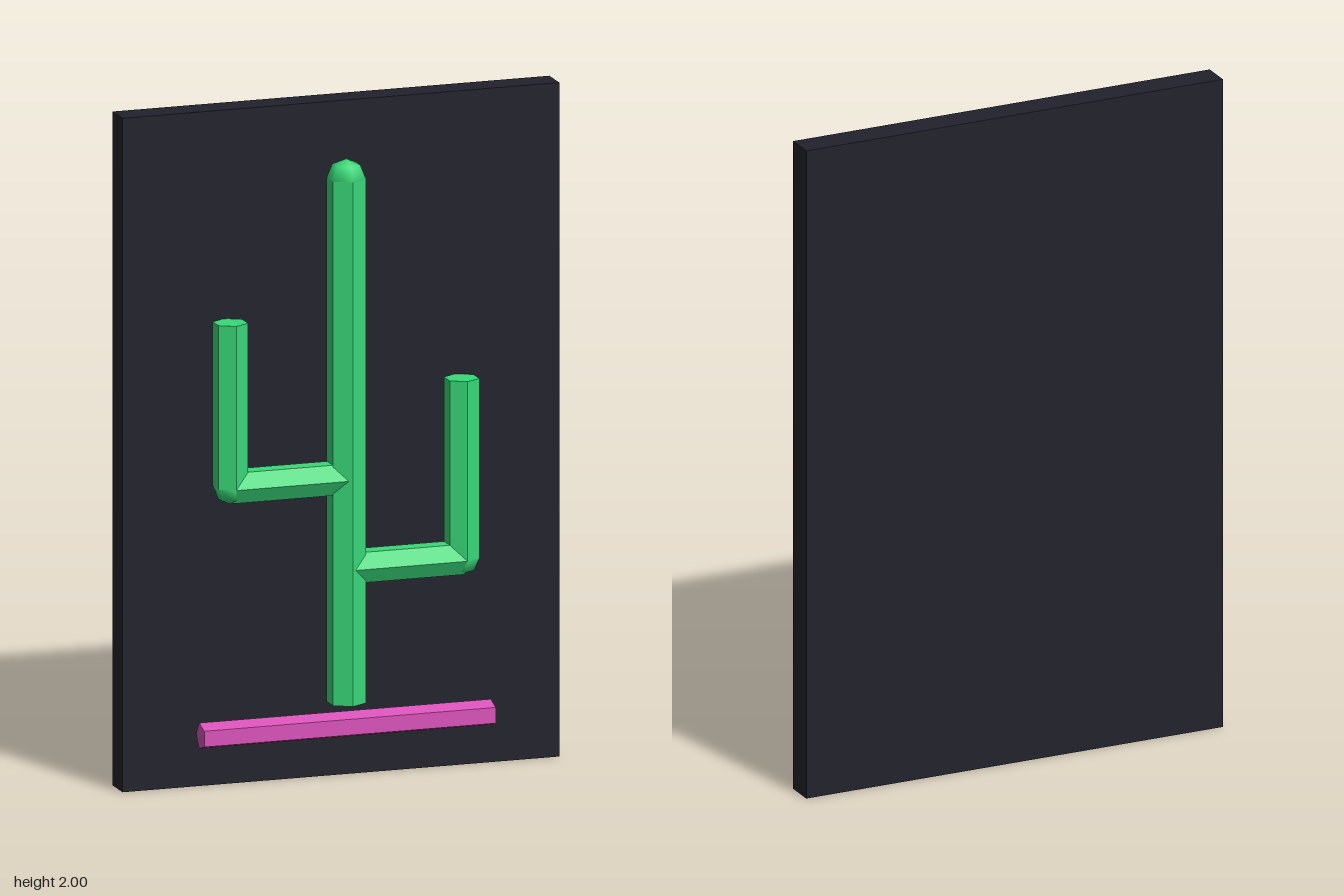
import * as THREE from 'three';

export function createModel() {
  const model = new THREE.Group();
  const material = (name, color, flatShading = true) => {
    const m = new THREE.MeshStandardMaterial({ color, flatShading });
    m.name = name;
    return m;
  };
  const dark = material('board charcoal', 0x22222c);
  const green = material('tube green', 0x38d878, false);
  const pink = material('tube pink', 0xd953b9);
  const Z = 0.038; // depth of the tube centre line

  const add = (name, geometry, mat, x, y, z, parent = model) => {
    const mesh = new THREE.Mesh(geometry, mat);
    mesh.name = name;
    mesh.position.set(x, y, z);
    parent.add(mesh);
    return mesh;
  };
  // Six-sided faceted tube with a ridge facing forward
  const tube = (radius, length) => {
    const g = new THREE.CylinderGeometry(radius, radius, length, 6).toNonIndexed();
    g.computeVertexNormals();
    return g;
  };
  // Rounded joint whose corners line up with the tube
  const ball = (radius) => new THREE.SphereGeometry(radius, 6, 4).rotateY(Math.PI / 6);

  // Backing board
  add('backingBoard', new THREE.BoxGeometry(1.333, 2, 0.088), dark, 0, 1, -0.053);

  // Trunk with domed top
  const bottom = 0.225, top = 1.78;
  add('trunk', tube(0.058, top - bottom), green, 0, (top + bottom) / 2, Z);
  add('trunkDome', ball(0.058), green, 0, top, Z);

  // Arms: sideways piece, elbow and upright
  const arms = [
    { name: 'rightArm', x: -0.354, y: 0.893, tip: 1.38 },
    { name: 'leftArm', x: 0.352, y: 0.627, tip: 1.16 },
  ];
  for (const { name, x, y, tip } of arms) {
    const arm = new THREE.Group();
    arm.name = name;
    model.add(arm);
    add('armBranch', tube(0.052, Math.abs(x)).rotateZ(Math.PI / 2), green, x / 2, y, Z, arm);
    add('armElbow', ball(0.052), green, x, y, Z, arm);
    add('armUpright', tube(0.052, tip - y), green, x, (tip + y) / 2, Z, arm);
  }

  // Five-sided ground bar, flat side forward
  const bar = new THREE.CylinderGeometry(0.04, 0.04, 0.89, 5).rotateY(Math.PI).rotateZ(Math.PI / 2);
  add('groundBar', bar, pink, 0, 0.158, Z);

  return model;
}
